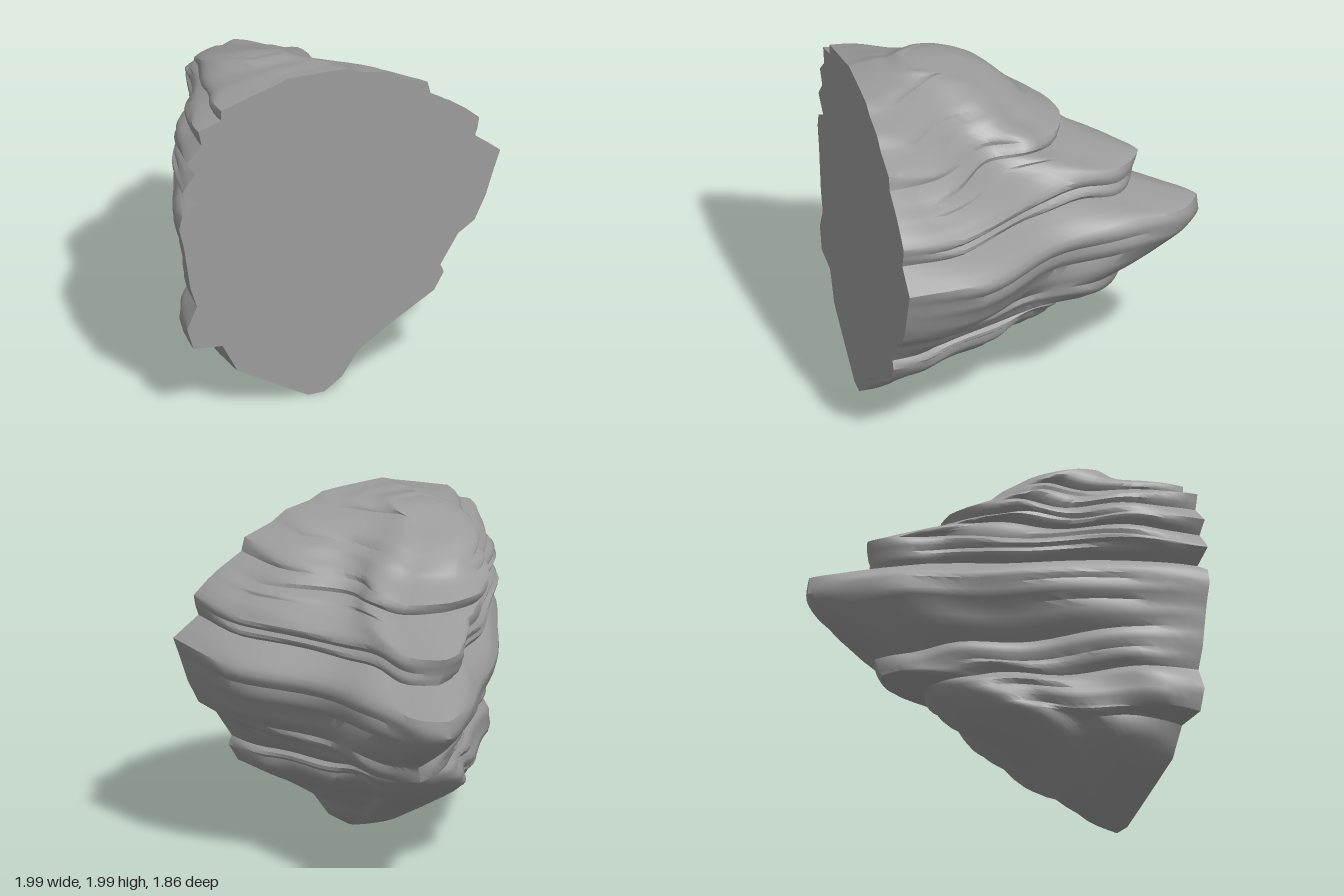
import * as THREE from 'three';
import { toCreasedNormals } from 'three/addons/utils/BufferGeometryUtils.js';

// Rock strata from bottom to top, one entry per ledge or notch line.
// Left and right edges on the flat front: [y, x]
const LEFT = [
  [0, -.2], [.1, -.38], [.25, -.64], [.42, -.73], [.44, -.91], [.57, -.95], [.7, -.89], [.82, -.93],
  [.95, -.95], [1.08, -.97], [1.2, -1], [1.28, -.98], [1.34, -.88], [1.42, -.98], [1.45, -.96], [1.52, -.9],
  [1.6, -.95], [1.69, -.86], [1.78, -.88], [1.82, -.74], [1.88, -.74], [1.93, -.55], [1.97, -.39], [1.99, -.33],
];
const RIGHT = [
  [0, -.1], [.07, .01], [.21, .11], [.35, .34], [.48, .58], [.58, .64], [.63, .62], [.8, .73],
  [.86, .83], [1, .9], [1.15, .95], [1.26, .99], [1.37, .83], [1.43, .85], [1.49, .86], [1.57, .77],
  [1.62, .7], [1.7, .56], [1.78, .54], [1.84, .37], [1.9, .28], [1.93, .13], [1.97, .05], [1.98, -.08],
];
// Rearmost point of each line, half width of its blunt nose,
// and depth of the hollow in the right flank: [y, x, z, nose, hollow]
const BACK = [
  [.01, -.13, .85, .03, 0], [.1, -.15, .59, .1, 0], [.24, -.17, .36, .18, 0], [.4, -.15, .07, .2, 0],
  [.48, -.08, -.07, .19, .02], [.58, 0, -.19, .16, .03], [.65, .06, -.24, .14, .04], [.7, .18, -.47, .1, .07],
  [.8, .21, -.5, .09, .08], [1, .24, -.84, .08, .1], [1.1, .24, -.93, .1, .1], [1.2, .24, -.92, .09, .1],
  [1.29, .12, -.57, .1, .09], [1.36, .1, -.59, .1, .1], [1.45, .1, -.62, .09, .12], [1.53, -.04, -.34, .17, .15],
  [1.57, -.12, -.2, .22, .17], [1.63, -.14, -.23, .22, .15], [1.7, -.25, -.06, .17, .1], [1.77, -.3, .01, .13, .06],
  [1.85, -.38, .13, .13, .05], [1.92, -.42, .32, .12, .03], [1.97, -.36, .47, .1, 0], [1.98, -.33, .55, .08, 0],
];
const FRONT = 0.93, HALF = 24, SUB = 3;
const COLS = 2 * HALF + 1;
const mix = THREE.MathUtils.lerp;
const bell = (v, centre, width) => Math.exp(-(((v - centre) / width) ** 2));

// Read a profile at a fractional line number
function sample(profile, r) {
  const i = Math.min(Math.floor(r), profile.length - 2);
  return profile[i].map((v, k) => mix(v, profile[i + 1][k], r - i));
}

// Broad, smooth weathering that drifts from bed to bed
function weather(a, r, seed) {
  return 0.55 * Math.sin(a * 9 + r * 0.5 + seed) + 0.45 * Math.sin(a * 17 - r * 0.8 + seed * 2);
}

// Point on the rock: column j runs from left front round the back to right front
function rockPoint(r, j) {
  const side = j < HALF ? -1 : 1;
  const s = Math.abs(j - HALF) / HALF, t = Math.pow(s, 1.5);
  const [fy, fx] = sample(side < 0 ? LEFT : RIGHT, r);
  const [by, bx, bz, nose, hollow] = sample(BACK, r);
  const depth = FRONT - bz;
  // blunt nose, straight flank, then a wall steepening towards the front
  const w = mix(t, Math.sin(t * Math.PI / 2), t * 0.7);
  const edge = bx + side * nose * (1 - Math.exp(-t * 30));
  // hollow on the right flank, bulging foot on the lower left
  const relief = side > 0 ? -hollow * bell(t, 0.45, 0.17) : -0.08 * bell(r, 2.6, 0.9) * Math.sin(Math.PI * t);
  const fade = Math.min(1, (1 - t) * 4) * Math.min(1, depth) * Math.min(1, s * 3);
  const swell = 0.022 * Math.sin(Math.PI * (r % 1)) + 0.025 * weather(side * s, r, 1);
  const x = mix(edge, fx, w) + relief + side * fade * swell;
  const y = mix(by, fy, t) + fade * 0.02 * weather(side * s, 0, 4);
  const z = mix(bz, FRONT, t) - fade * swell * 0.6;
  return [x, y, Math.min(z, FRONT)];
}

function rockGeometry() {
  const rows = (LEFT.length - 1) * SUB + 1, position = [], index = [];
  for (let i = 0; i < rows; i++)
    for (let j = 0; j < COLS; j++) position.push(...rockPoint(i / SUB, j));
  const at = (i, j) => i * COLS + j;
  const quad = (a, b, c, d) => index.push(a, b, c, a, c, d);
  const last = rows - 1, end = COLS - 1;
  for (let i = 0; i < last; i++) {
    // weathered sides and back
    for (let j = 0; j < end; j++) quad(at(i, j), at(i + 1, j), at(i + 1, j + 1), at(i, j + 1));
    // flat cut front
    quad(at(i, 0), at(i, end), at(i + 1, end), at(i + 1, 0));
  }
  // top and bottom caps
  for (let k = 0; k < HALF; k++) {
    quad(at(last, k), at(last, end - k), at(last, end - k - 1), at(last, k + 1));
    quad(at(0, k), at(0, k + 1), at(0, end - k - 1), at(0, end - k));
  }
  const geometry = new THREE.BufferGeometry();
  geometry.setAttribute('position', new THREE.Float32BufferAttribute(position, 3));
  geometry.setIndex(index);
  return toCreasedNormals(geometry, 0.7);
}

export function createModel() {
  const group = new THREE.Group();
  group.name = 'rockOutcrop';
  const rock = new THREE.Mesh(rockGeometry(), new THREE.MeshStandardMaterial({ color: 0x9b9b9b }));
  rock.name = 'layeredRock';
  group.add(rock);
  return group;
}
